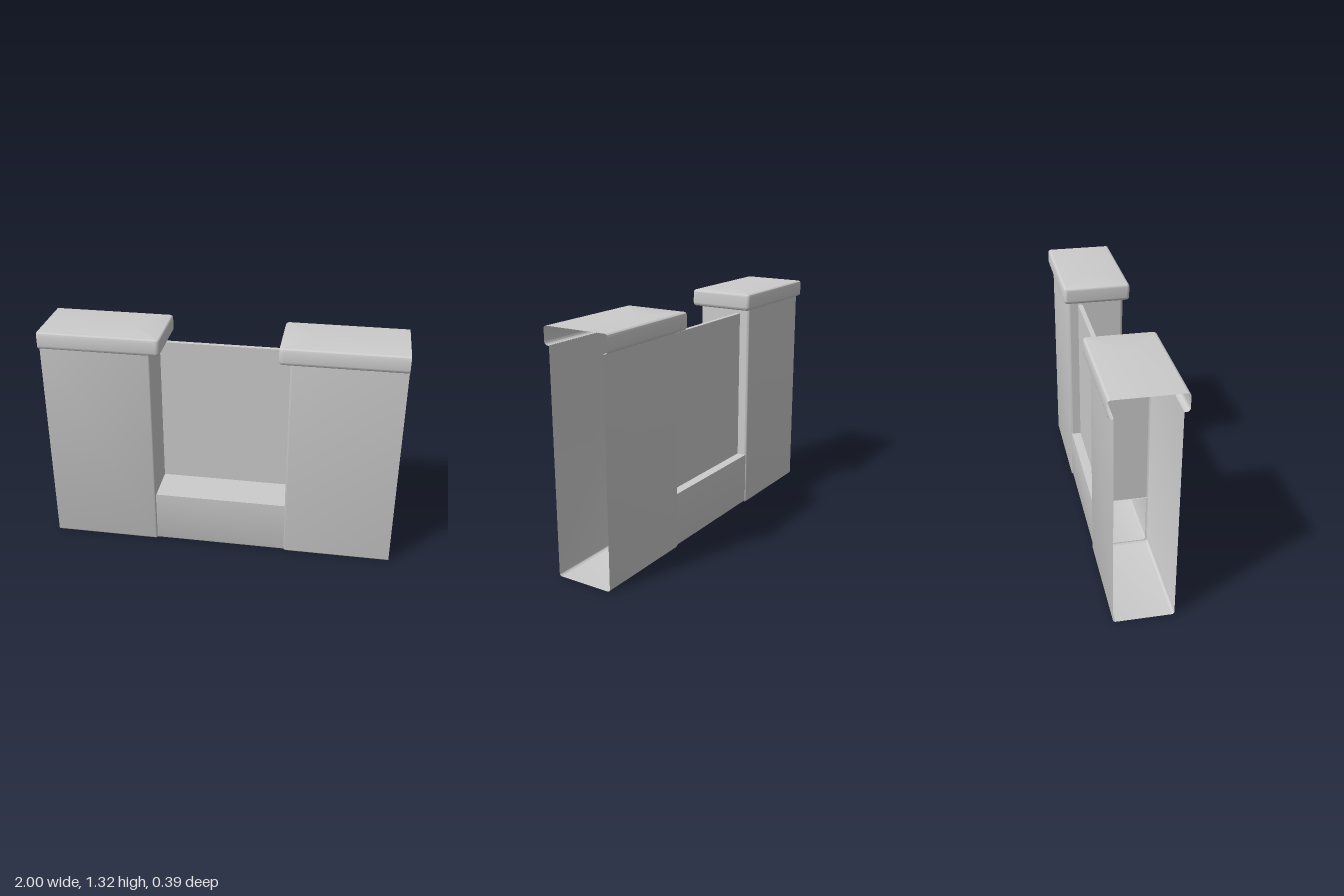
import * as THREE from 'three';
import { toCreasedNormals } from 'three/addons/utils/BufferGeometryUtils.js';

const material = new THREE.MeshStandardMaterial({ color: 0xcccccc, side: THREE.DoubleSide });
const STEPS = 6;

// Open U outline: from (w, far) to the closed end at v = e and back to (-w, far)
function uPath(w, e, far, r) {
  const pts = [[w, far]];
  for (let i = 0; i <= STEPS; i++) {
    const a = (i / STEPS) * Math.PI / 2;
    pts.push([w - r + r * Math.cos(a), e + r - r * Math.sin(a)]);
  }
  const mirrored = pts.map(([u, v]) => [-u, v]).reverse();
  return pts.concat(mirrored);
}

// Skin between rows of equal point counts
function loft(rows) {
  const n = rows[0].length, index = [];
  for (let r = 0; r < rows.length - 1; r++) {
    for (let c = 0; c < n - 1; c++) {
      const a = r * n + c, b = a + n;
      index.push(a, b, a + 1, b, b + 1, a + 1);
    }
  }
  const g = new THREE.BufferGeometry();
  g.setAttribute('position', new THREE.Float32BufferAttribute(rows.flat(2), 3));
  g.setIndex(index);
  return toCreasedNormals(g, 0.6);
}

function addMesh(parent, name, geometry) {
  const m = new THREE.Mesh(geometry, material);
  m.name = name;
  parent.add(m);
  return m;
}

// Channel rows along x, open at the top; stations are [x, inset]
function channelRows(stations, halfDepth, bottom, top, r) {
  return stations.map(([x, d]) =>
    uPath(halfDepth - d, bottom + d, top, r).map(([z, y]) => [x, y, z]));
}

// Cap rows stacked in y; profile entries are [y, z inset, x inset]
function capRows(profile) {
  return profile.map(([y, dz, dx]) =>
    uPath(0.193 - dz, 0.32 + dx, 1, Math.max(0.022 - dz, 0)).map(([z, x]) => [x, y, z]));
}

export function createModel() {
  const group = new THREE.Group();
  const R = 0.015, C = 0.02;

  // Pillar stations: straight run, then rounded over into the opening
  const stations = [[1, 0]];
  for (let i = 0; i <= STEPS; i++) {
    const a = (i / STEPS) * Math.PI / 2;
    stations.push([0.38 + R - R * Math.sin(a), R - R * Math.cos(a)]);
  }

  // Cap profile: bottom rim, rounded lower edge, side, rounded upper edge, top
  const profile = [[1.22, 0.03, 0.06]];
  for (let i = 0; i <= STEPS; i++) {
    const a = (i / STEPS) * Math.PI / 2, d = C - C * Math.sin(a);
    profile.push([1.22 + C - C * Math.cos(a), d, d]);
  }
  for (let i = 0; i <= STEPS; i++) {
    const a = (i / STEPS) * Math.PI / 2, d = R - R * Math.cos(a);
    profile.push([1.317 - R + R * Math.sin(a), d, d]);
  }
  profile.push([1.317, 0.193, 0.193]);

  for (const [side, s] of [['left', 1], ['right', -1]]) {
    const sided = (rows) => {
      const out = rows.map((row) => row.map(([x, y, z]) => [s * x, y, z]));
      return s > 0 ? out : out.reverse();
    };
    addMesh(group, side + 'Pillar', loft(sided(channelRows(stations, 0.164, 0, 1.222, R))));
    addMesh(group, side + 'Cap', loft(sided(capRows(profile))));

    // Inner face of the pillar above the sill
    const jamb = addMesh(group, side + 'Jamb', new THREE.PlaneGeometry(2 * (0.164 - R), 1.222 - 0.315));
    jamb.rotation.y = -s * Math.PI / 2;
    jamb.position.set(s * 0.38, (1.222 + 0.315) / 2, 0);
  }

  // Low wall between the pillars and its flat top
  addMesh(group, 'lowWall', loft(channelRows([[0.387, 0], [-0.387, 0]], 0.157, 0.006, 0.315, 0.012)));
  const sill = addMesh(group, 'sill', new THREE.PlaneGeometry(0.774, 0.314));
  sill.rotation.x = -Math.PI / 2;
  sill.position.y = 0.315;

  // Thin panel set into the pillars and the sill
  const panel = addMesh(group, 'panel', new THREE.BoxGeometry(0.84, 0.92, 0.026));
  panel.position.set(0, 0.732, -0.09);

  return group;
}
